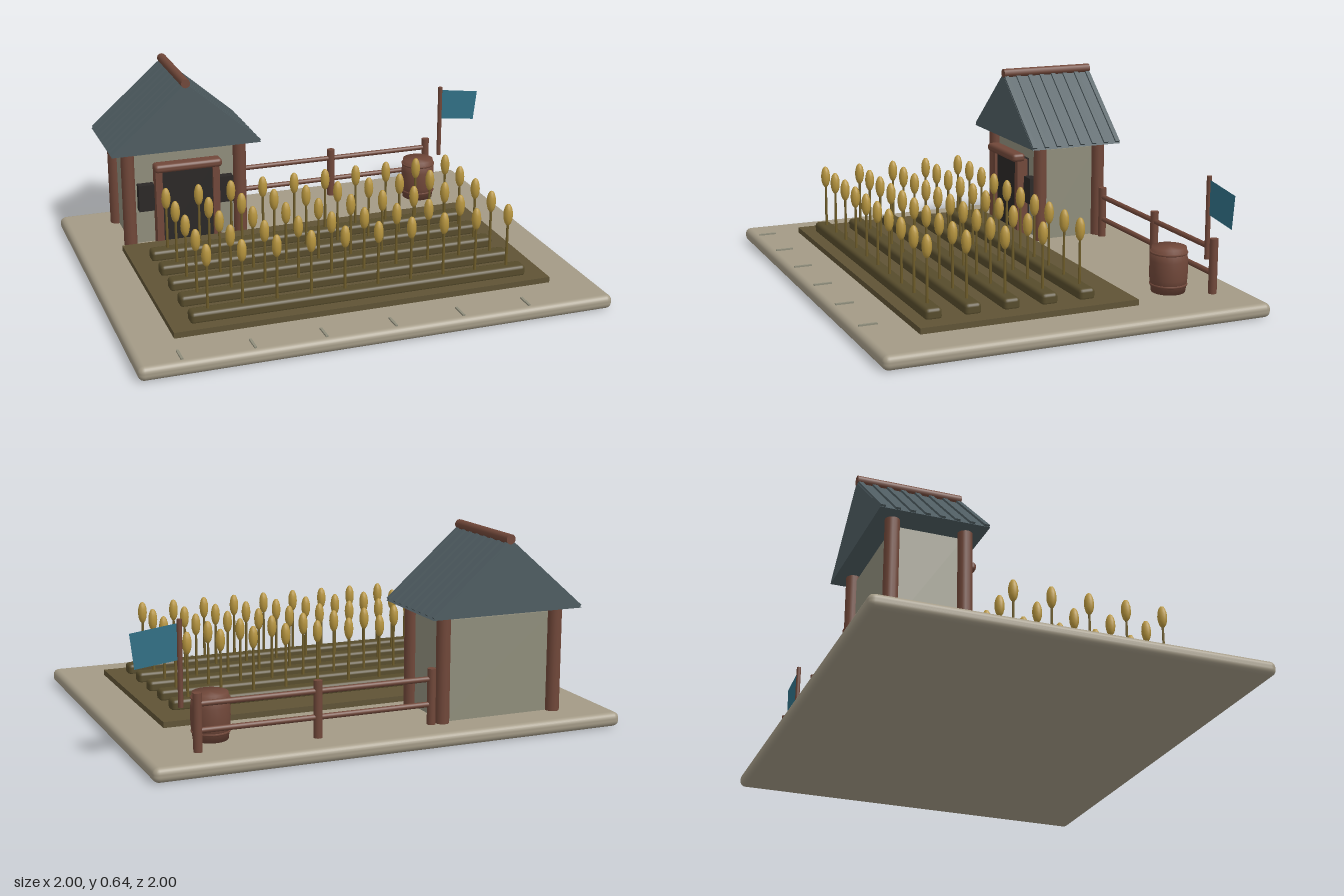
import * as THREE from 'three';
import { RoundedBoxGeometry } from 'three/addons/geometries/RoundedBoxGeometry.js';

const mat = (name, color) => {
  const m = new THREE.MeshStandardMaterial({ color });
  m.name = name;
  return m;
};

export function createModel() {
  const stone = mat('stone', 0xa39a86), soil = mat('soil', 0x5f5335), ridgeSoil = mat('ridge soil', 0x564b2b);
  const plaster = mat('plaster', 0x8f8d7b), wood = mat('wood', 0x704739), slate = mat('slate', 0x4e5c61);
  const dark = mat('dark panel', 0x2a2726), gold = mat('grain gold', 0xb8963f), stem = mat('stem', 0x6f5d2a);
  const cloth = mat('cloth', 0x2f6f85);
  cloth.side = THREE.DoubleSide;

  const model = new THREE.Group();
  const plot = new THREE.Group(); // the plot stands diagonally in the frame
  plot.name = 'plot';
  plot.rotation.y = Math.PI / 4;
  model.add(plot);

  const add = (name, geometry, material, x, y, z, parent = plot) => {
    const m = new THREE.Mesh(geometry, material);
    m.name = name;
    m.position.set(x, y, z);
    parent.add(m);
    return m;
  };
  const box = (name, material, w, h, d, x, y, z, parent) =>
    add(name, new THREE.BoxGeometry(w, h, d), material, x, y, z, parent);
  const pole = (name, material, r, y0, y1, x, z, parent) =>
    add(name, new THREE.CylinderGeometry(r, r, y1 - y0, 14), material, x, (y0 + y1) / 2, z, parent);

  // Ground slab with edge notches
  const top = 0.047;
  add('groundSlab', new RoundedBoxGeometry(1.568, top, 1.286, 3, 0.02), stone, 0, top / 2, 0);
  for (let i = 0; i < 6; i++) box('edgeMarker', plaster, 0.008, 0.006, 0.06, -0.648 + i * 0.228, top + 0.002, 0.592);

  // Field with five planted ridges
  box('field', soil, 1.272, 0.022, 0.727, 0, 0.055, 0.115);
  const stemGeo = new THREE.CylinderGeometry(0.004, 0.005, 0.16, 6);
  const headGeo = new THREE.SphereGeometry(1, 10, 8).scale(0.016, 0.038, 0.016);
  for (let r = 0; r < 5; r++) {
    const z = -0.104 + r * 0.128;
    add('plantingRidge', new RoundedBoxGeometry(1.14, 0.04, 0.054, 2, 0.012), ridgeSoil, 0, 0.079, z);
    for (let i = 0; i < 10; i++) {
      const x = -0.51 + i * 0.1133;
      add('stalk', stemGeo, stem, x, 0.17, z);
      add('grainHead', headGeo, gold, x, 0.277, z);
    }
  }

  // Hut: walls and corner posts
  const hut = new THREE.Group();
  hut.name = 'hut';
  hut.position.set(-0.396, 0, -0.41);
  plot.add(hut);
  box('walls', plaster, 0.39, 0.33, 0.22, 0, 0.21, 0, hut);
  for (const sx of [-1, 1]) {
    for (const sz of [-1, 1]) pole('cornerPost', wood, 0.023, 0.045, 0.395, sx * 0.2, sz * 0.115, hut);
    box('window', dark, 0.055, 0.095, 0.03, sx * 0.142, 0.22, 0.125, hut);
    box('doorJamb', wood, 0.024, 0.28, 0.04, sx * 0.102, 0.187, 0.145, hut);
  }
  box('door', dark, 0.19, 0.28, 0.045, 0, 0.187, 0.132, hut);
  add('lintel', new RoundedBoxGeometry(0.24, 0.03, 0.05, 2, 0.012), wood, 0, 0.336, 0.16, hut);

  // Gabled roof
  const half = 0.264, eave = 0.392, apex = 0.622, depth = 0.344;
  const gable = new THREE.Shape([
    new THREE.Vector2(-half, eave), new THREE.Vector2(half, eave), new THREE.Vector2(0, apex),
  ]);
  add('roof', new THREE.ExtrudeGeometry(gable, { depth, bevelEnabled: false }), slate, 0, 0, -depth / 2, hut);
  const slope = Math.atan2(apex - eave, half), length = Math.hypot(half, apex - eave);
  for (const s of [-1, 1]) {
    for (let i = 0; i < 8; i++) {
      const rib = box('roofRib', slate, length - 0.01, 0.01, 0.016, s * half / 2, (eave + apex) / 2 + 0.002,
        -0.163 + i * 0.0466, hut);
      rib.rotation.z = -s * slope;
    }
  }
  const ridge = add('ridgeLog', new THREE.CylinderGeometry(0.016, 0.016, 0.345, 14), wood, 0, 0.629, 0, hut);
  ridge.rotation.x = Math.PI / 2;

  // Fence along the back
  const fenceZ = -0.527;
  for (let i = 0; i < 3; i++) pole('fencePost', wood, 0.014, 0.045, 0.228, -0.156 + i * 0.385, fenceZ);
  for (const y of [0.112, 0.194]) {
    const rail = add('fenceRail', new THREE.CylinderGeometry(0.009, 0.009, 0.77, 10), wood, 0.229, y, fenceZ);
    rail.rotation.z = Math.PI / 2;
  }

  // Barrel with two hoops
  const profile = [[0, 0], [0.055, 0], [0.061, 0.045], [0.062, 0.075], [0.061, 0.105], [0.056, 0.148], [0, 0.148]];
  add('barrel', new THREE.LatheGeometry(profile.map(([x, y]) => new THREE.Vector2(x, y)), 24), wood, 0.535, top, -0.41);
  for (const y of [0.073, 0.178]) {
    const hoop = add('barrelHoop', new THREE.TorusGeometry(0.058, 0.004, 6, 24), wood, 0.535, y, -0.41);
    hoop.rotation.x = Math.PI / 2;
  }

  // Flag on its short pole
  pole('flagPole', wood, 0.008, 0.175, 0.443, 0.65, -0.48);
  const flag = new THREE.Shape([
    new THREE.Vector2(0, 0.32), new THREE.Vector2(0.137, 0.303),
    new THREE.Vector2(0.15, 0.412), new THREE.Vector2(0, 0.432),
  ]);
  add('flag', new THREE.ShapeGeometry(flag), cloth, 0.652, 0, -0.48);

  return model;
}
